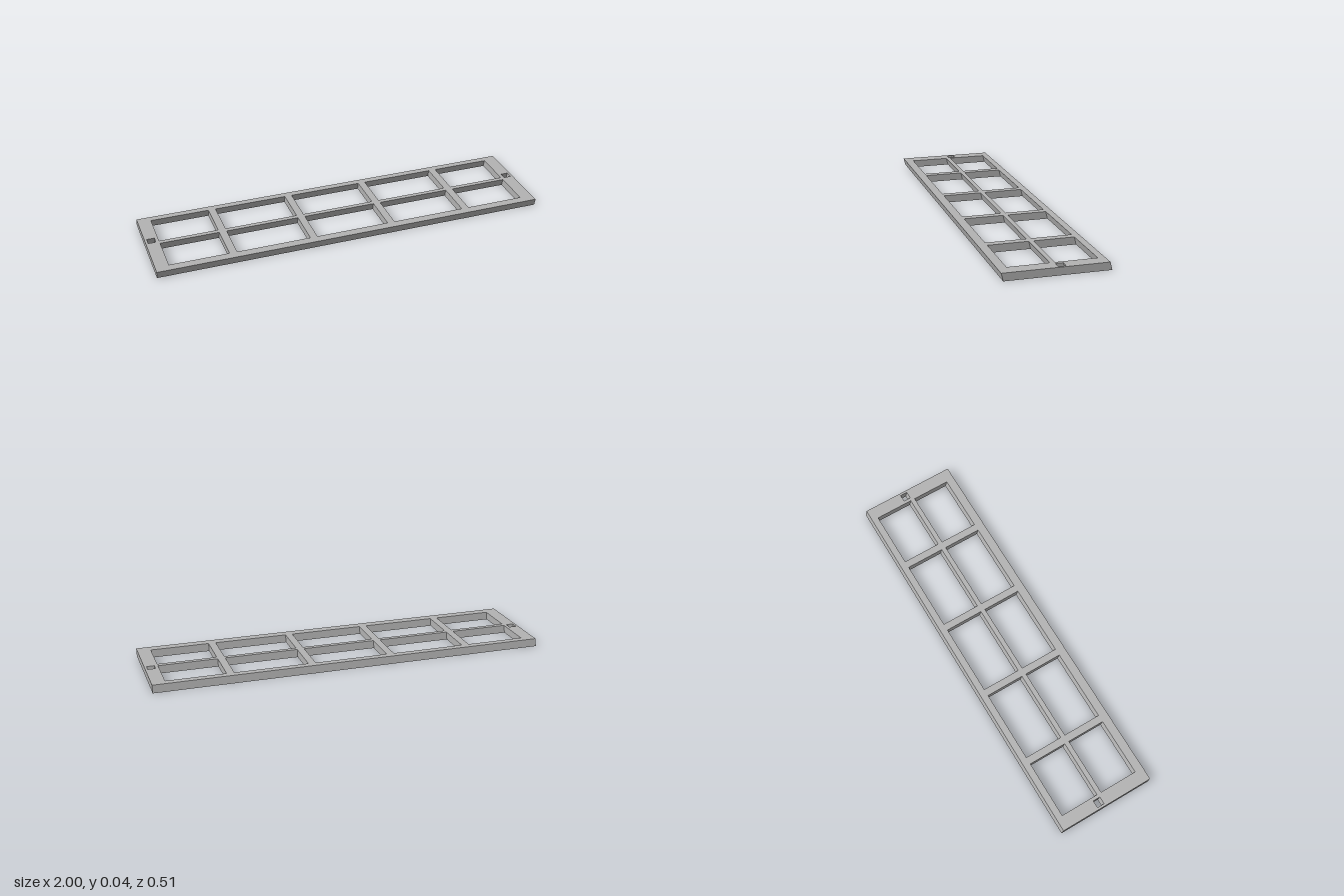
import * as THREE from 'three';

const HEIGHT = 0.038;
const LEAN = 0.0095; // forward shift of the top face relative to the bottom

// Rectangle given by x and z limits; the shape's y is -z
function trace(path, x0, x1, z0, z1) {
  path.moveTo(x0, -z1);
  path.lineTo(x1, -z1);
  path.lineTo(x1, -z0);
  path.lineTo(x0, -z0);
  path.closePath();
  return path;
}

export function createModel() {
  const group = new THREE.Group();
  group.name = 'windowGrille';
  const grey = new THREE.MeshStandardMaterial({ color: 0xb3b3b3 });
  grey.name = 'grey';

  // Outline of the top face
  const outline = trace(new THREE.Shape(), -1, 1, -0.245, 0.256);

  // Two rows of five openings
  const columns = [[-0.933, -0.635], [-0.597, -0.224], [-0.187, 0.187], [0.224, 0.597], [0.635, 0.933]];
  const rows = [[-0.211, -0.011], [0.013, 0.212]];
  for (const [x0, x1] of columns) {
    for (const [z0, z1] of rows) outline.holes.push(trace(new THREE.Path(), x0, x1, z0, z1));
  }

  // Small square mounting hole at each end
  for (const side of [-1, 1]) {
    const x = side * 0.969;
    outline.holes.push(trace(new THREE.Path(), x - 0.019, x + 0.019, -0.043, -0.005));
  }

  // Extrude upward, then lean every wall by shearing along z
  const geometry = new THREE.ExtrudeGeometry(outline, { depth: HEIGHT, bevelEnabled: false });
  geometry.rotateX(-Math.PI / 2);
  const pos = geometry.attributes.position;
  for (let i = 0; i < pos.count; i++) {
    pos.setZ(i, pos.getZ(i) - LEAN * (1 - pos.getY(i) / HEIGHT));
  }
  geometry.computeVertexNormals();

  const frame = new THREE.Mesh(geometry, grey);
  frame.name = 'slantedFrame';
  group.add(frame);
  return group;
}
